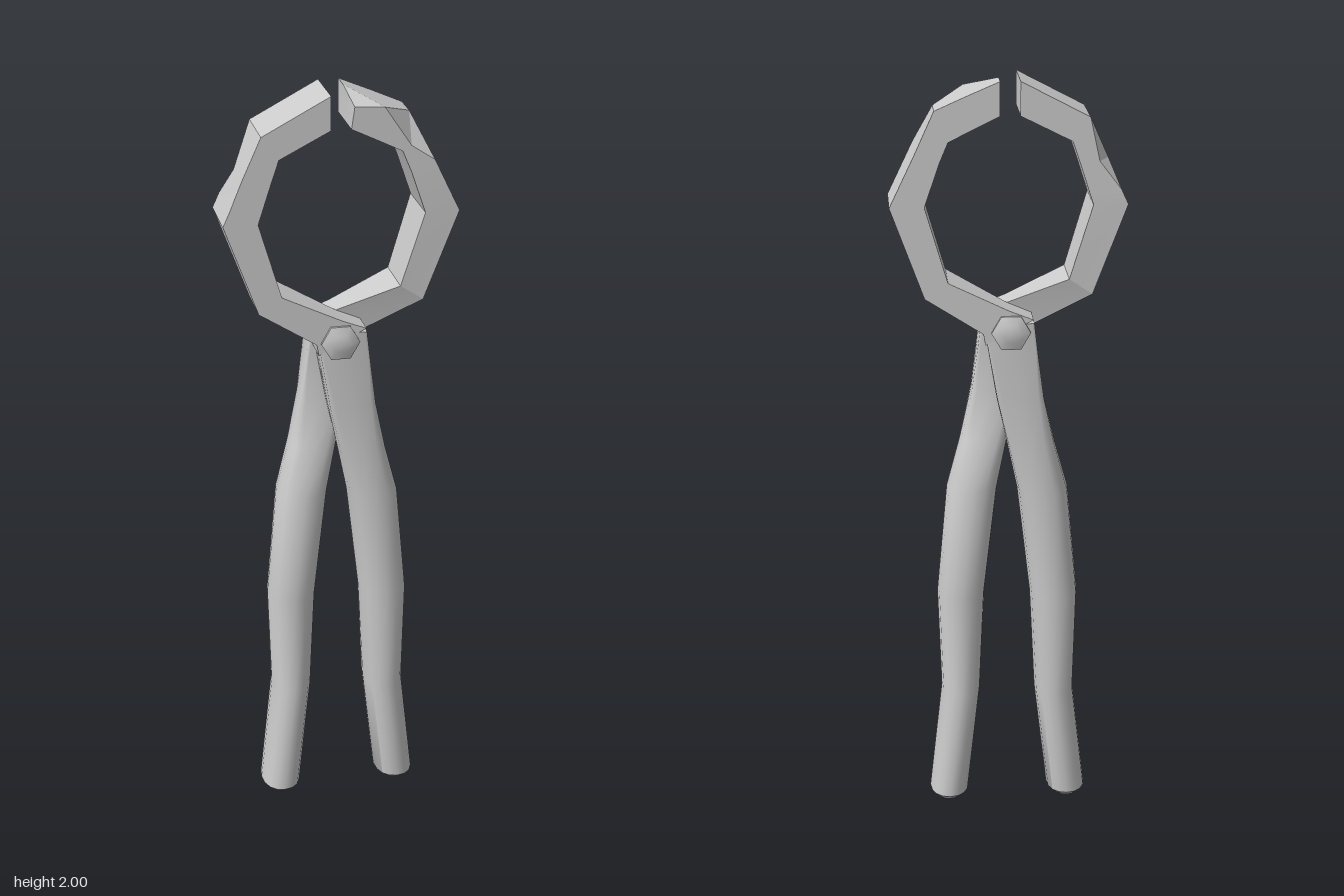
import * as THREE from 'three';
import { toCreasedNormals } from 'three/addons/utils/BufferGeometryUtils.js';

const steel = new THREE.MeshStandardMaterial({ color: 0xcccccc });

// Skin a list of rings ([x,y,z] points) and close both ends.
function loft(rings, crease) {
  const n = rings[0].length;
  const tris = [];
  const centre = (r) => [0, 1, 2].map((k) => r.reduce((s, p) => s + p[k], 0) / n);
  for (let j = 0; j < rings.length - 1; j++) {
    for (let i = 0; i < n; i++) {
      const k = (i + 1) % n;
      const a = rings[j][i], b = rings[j][k], c = rings[j + 1][k], d = rings[j + 1][i];
      tris.push([a, b, c], [a, c, d]);
    }
  }
  const first = rings[0], last = rings[rings.length - 1];
  const c0 = centre(first), c1 = centre(last);
  for (let i = 0; i < n; i++) {
    const k = (i + 1) % n;
    tris.push([c0, first[k], first[i]], [c1, last[i], last[k]]);
  }
  // Turn the faces outward if the enclosed volume is negative.
  const vec = (p) => new THREE.Vector3(...p);
  const volume = tris.reduce((s, t) => s + vec(t[0]).dot(vec(t[1]).cross(vec(t[2]))), 0);
  if (volume < 0) tris.forEach((t) => t.reverse());
  const geo = new THREE.BufferGeometry();
  geo.setAttribute('position', new THREE.Float32BufferAttribute(tris.flat(2), 3));
  return toCreasedNormals(geo, crease);
}

function addMesh(parent, name, geo) {
  const mesh = new THREE.Mesh(geo, steel);
  mesh.name = name;
  parent.add(mesh);
  return mesh;
}

// Jaw section: outer x,y, inner x,y, back z, then an optional chip
// on the outer back edge: z where it starts and the x,y it cuts down to.
function jawRing([ox, oy, ix, iy, zb, chipZ = zb, cx = ox, cy = oy]) {
  const zf = 0.076;
  return [[ix, iy, zf], [ox, oy, zf], [ox, oy, chipZ], [cx, cy, zb], [ix, iy, zb]];
}

// Lower jaw and joint, shared by both halves.
const jawBase = [
  [-0.297, 1.69, -0.21, 1.69, -0.076],
  [-0.212, 1.455, -0.153, 1.495, -0.06],
  [-0.065, 1.36, 0, 1.42, 0],
  [-0.06, 1.33, 0.062, 1.395, 0],
];
const chippedSide = [
  [-0.028, 2.0, -0.028, 1.915, -0.076],
  [-0.2, 1.91, -0.157, 1.85, -0.076],
  [-0.25, 1.8, -0.184, 1.77, -0.076, -0.03, -0.224, 1.80],
  [-0.28, 1.727, -0.2, 1.72, -0.076],
];
const chippedTip = [
  [-0.022, 2.0, -0.022, 1.915, -0.076, 0.02, -0.03, 1.97],
  [-0.105, 1.965, -0.09, 1.882, -0.076],
  [-0.184, 1.93, -0.15, 1.852, -0.076, 0, -0.172, 1.865],
  [-0.232, 1.825, -0.172, 1.8, -0.076],
];

// Handle section: y, x range, z range, squareness (small = boxy).
const handleSections = [
  [1.385, -0.065, 0.065, 0, 0.075, 0.08],
  [1.3, -0.05, 0.075, 0, 0.075, 0.1],
  [1.18, -0.03, 0.092, 0, 0.073, 0.3],
  [1.05, -0.002, 0.122, -0.026, 0.077, 0.65],
  [0.92, 0.025, 0.158, -0.055, 0.082, 0.85],
  [0.62, 0.06, 0.186, -0.062, 0.077, 0.9],
  [0.34, 0.073, 0.177, -0.062, 0.085, 0.9],
  [0.035, 0.108, 0.212, -0.075, 0.075, 0.9],
  [0.012, 0.13, 0.193, -0.045, 0.045, 0.9],
  [0, 0.152, 0.172, -0.012, 0.012, 1],
];

function handleRing([y, x0, x1, z0, z1, e]) {
  const soft = (v) => Math.sign(v) * Math.pow(Math.abs(v) < 1e-9 ? 0 : Math.abs(v), e);
  return Array.from({ length: 16 }, (_, i) => {
    const a = (i / 16) * Math.PI * 2;
    return [
      (x0 + x1) / 2 + ((x1 - x0) / 2) * soft(Math.cos(a)),
      y,
      (z0 + z1) / 2 + ((z1 - z0) / 2) * soft(Math.sin(a)),
    ];
  });
}

// One half: jaw on one side crossing to a handle on the other.
function makeHalf(name, jawTop) {
  const half = new THREE.Group();
  half.name = name;
  addMesh(half, 'jaw', loft([...jawTop, ...jawBase].map(jawRing), 0.2));
  addMesh(half, 'handle', loft(handleSections.map(handleRing), 0.75));
  return half;
}

export function createModel() {
  const model = new THREE.Group();
  model.name = 'tongs';
  model.add(makeHalf('frontHalf', chippedSide));
  const back = makeHalf('backHalf', chippedTip);
  back.rotation.y = Math.PI;
  model.add(back);

  // Six-sided rivet with a domed head on each face
  const profile = [
    [0, -0.095], [0.025, -0.092], [0.05, -0.083], [0.05, -0.066], [0.03, -0.066],
    [0.03, 0.066], [0.05, 0.066], [0.05, 0.083], [0.025, 0.092], [0, 0.095],
  ].map(([r, h]) => new THREE.Vector2(r, h));
  const rivet = addMesh(model, 'rivet', toCreasedNormals(new THREE.LatheGeometry(profile, 6, Math.PI / 2), 1.1));
  rivet.rotation.x = Math.PI / 2;
  rivet.position.set(-0.005, 1.363, 0);
  return model;
}
